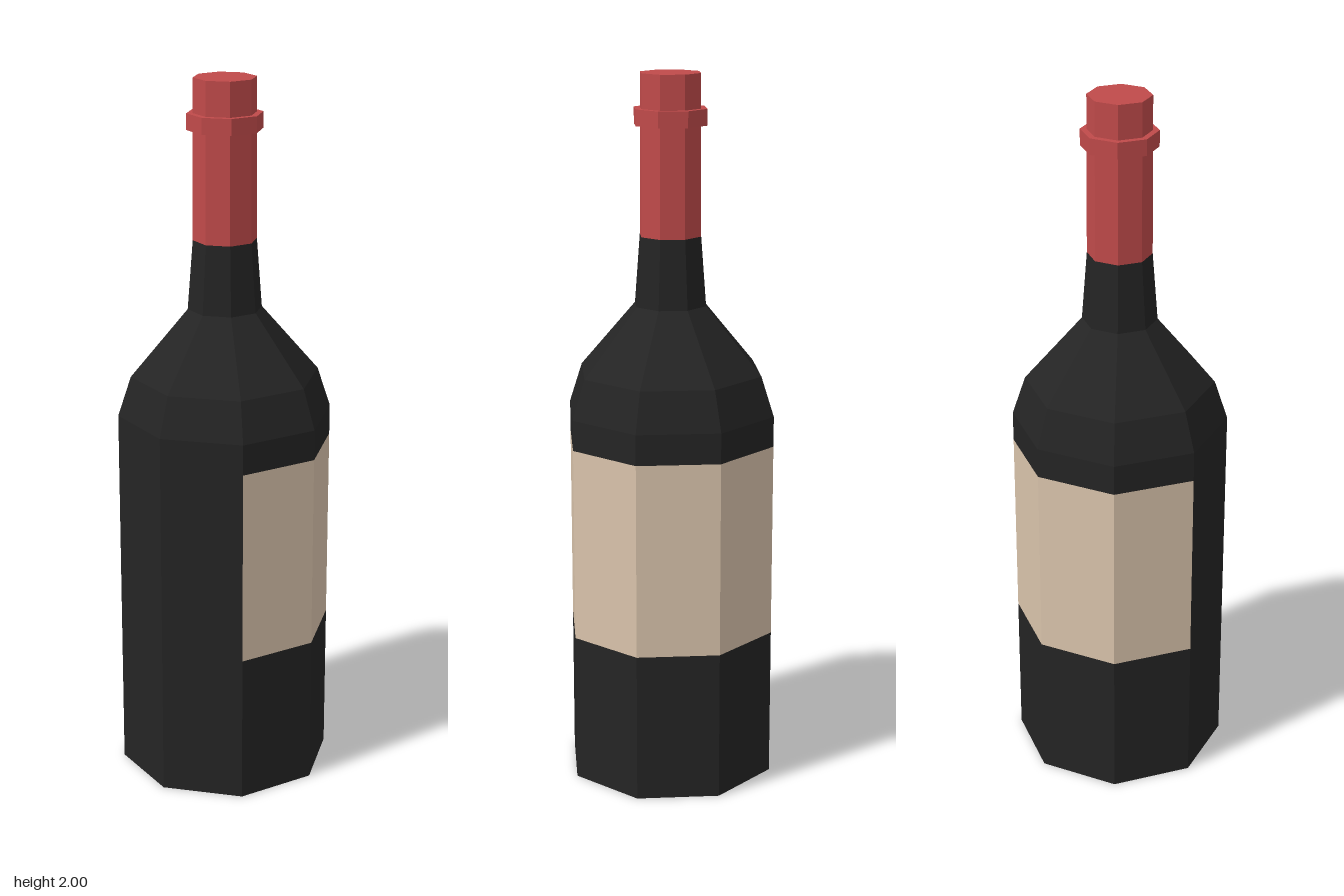
import * as THREE from 'three';

const SIDES = 8;
const STEP = (Math.PI * 2) / SIDES;

// Faceted surface of revolution; first = starting side, count = number of sides
function facetedLathe(name, profile, material, first = 0, count = SIDES) {
  const points = profile.map(([r, y]) => new THREE.Vector2(r, y));
  const geometry = new THREE.LatheGeometry(points, count, first * STEP, count * STEP).toNonIndexed();
  geometry.computeVertexNormals();
  const mesh = new THREE.Mesh(geometry, material);
  mesh.name = name;
  return mesh;
}

export function createModel() {
  const glass = new THREE.MeshStandardMaterial({ color: 0x242424 });
  glass.name = 'dark glass';
  const paper = new THREE.MeshStandardMaterial({ color: 0xd9c3ab });
  paper.name = 'cream paper';
  const foil = new THREE.MeshStandardMaterial({ color: 0xc04a4a });
  foil.name = 'red foil';

  const R = 0.302, labelBottom = 0.425, labelTop = 0.977;
  const band = [[R, labelBottom], [R, labelTop]];

  const bottle = new THREE.Group();
  bottle.name = 'bottle';
  bottle.add(
    // Closed base and lower wall
    facetedLathe('lowerBody', [[0, 0], [R, 0], [R, labelBottom]], glass),
    // Label wraps six sides, the other two stay bare
    facetedLathe('label', band, paper, -1, 6),
    facetedLathe('bareWall', band, glass, 5, 2),
    // Shoulder and neck
    facetedLathe('shoulderAndNeck',
      [[R, labelTop], [R, 1.063], [0.265, 1.175], [0.104, 1.363], [0.089, 1.557]], glass),
    // Foil capsule with its raised ring
    facetedLathe('foilCapsule', [[0.089, 1.557], [0.087, 2], [0, 2]], foil),
    facetedLathe('foilRing',
      [[0.085, 1.86], [0.105, 1.86], [0.105, 1.905], [0.085, 1.905]], foil),
  );
  return bottle;
}
